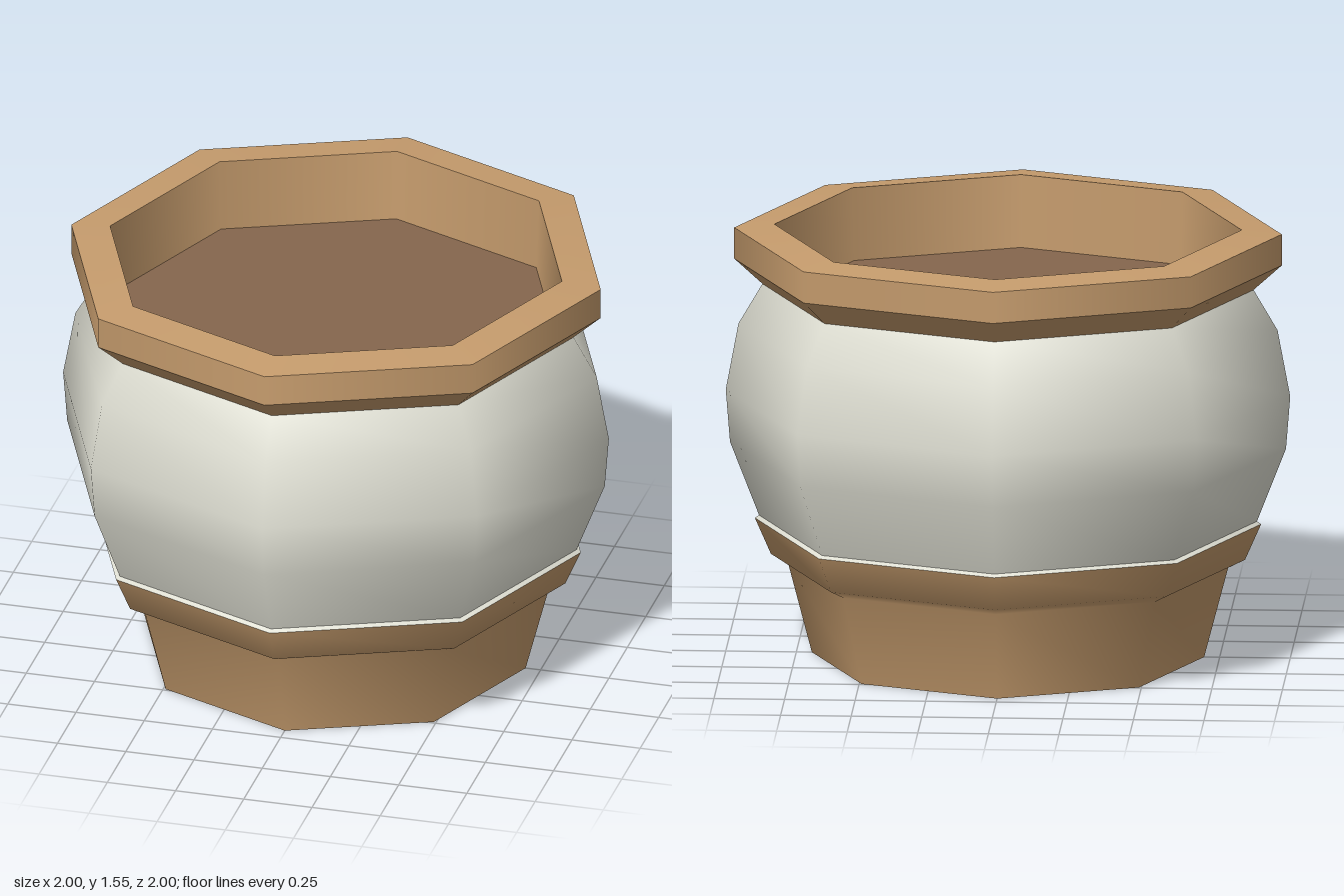
import * as THREE from 'three';

const wood = new THREE.MeshStandardMaterial({ color: 0xc69c6d });
wood.name = 'tan wood';
const glaze = new THREE.MeshStandardMaterial({ color: 0xdfdfd3 });
glaze.name = 'off white glaze';
const soil = new THREE.MeshStandardMaterial({ color: 0x85664d });
soil.name = 'brown soil';

const SIDES = 8;

// One eight-sided band; smooth inside a band, sharp between bands
function band(name, material, profile) {
  const points = profile.map(([r, y]) => new THREE.Vector2(r, y));
  const mesh = new THREE.Mesh(new THREE.LatheGeometry(points, SIDES), material);
  mesh.name = name;
  return mesh;
}

function part(name, ...bands) {
  const group = new THREE.Group();
  group.name = name;
  group.add(...bands);
  return group;
}

export function createModel() {
  const pot = new THREE.Group();
  pot.name = 'pot';

  // Profiles run from the bottom centre, up the outside and down the inside
  pot.add(
    part('foot',
      band('footUnderside', wood, [[0, 0], [0.695, 0]]),
      band('footWall', wood, [[0.695, 0], [0.78, 0.325], [0.84, 0.355], [0.897, 0.485]])),
    part('body',
      band('bodyLedge', glaze, [[0.897, 0.485], [0.882, 0.495]]),
      band('bodyWall', glaze, [[0.882, 0.495], [0.985, 0.76], [1, 0.95], [0.955, 1.19], [0.87, 1.335]])),
    part('rim',
      band('rimUnderside', wood, [[0.87, 1.335], [0.97, 1.425]]),
      band('rimSide', wood, [[0.97, 1.425], [0.97, 1.538]]),
      band('rimTop', wood, [[0.97, 1.538], [0.828, 1.552]]),
      band('rimInside', wood, [[0.828, 1.552], [0.817, 1.29]])),
    band('soil', soil, [[0.817, 1.29], [0, 1.29]])
  );
  return pot;
}
